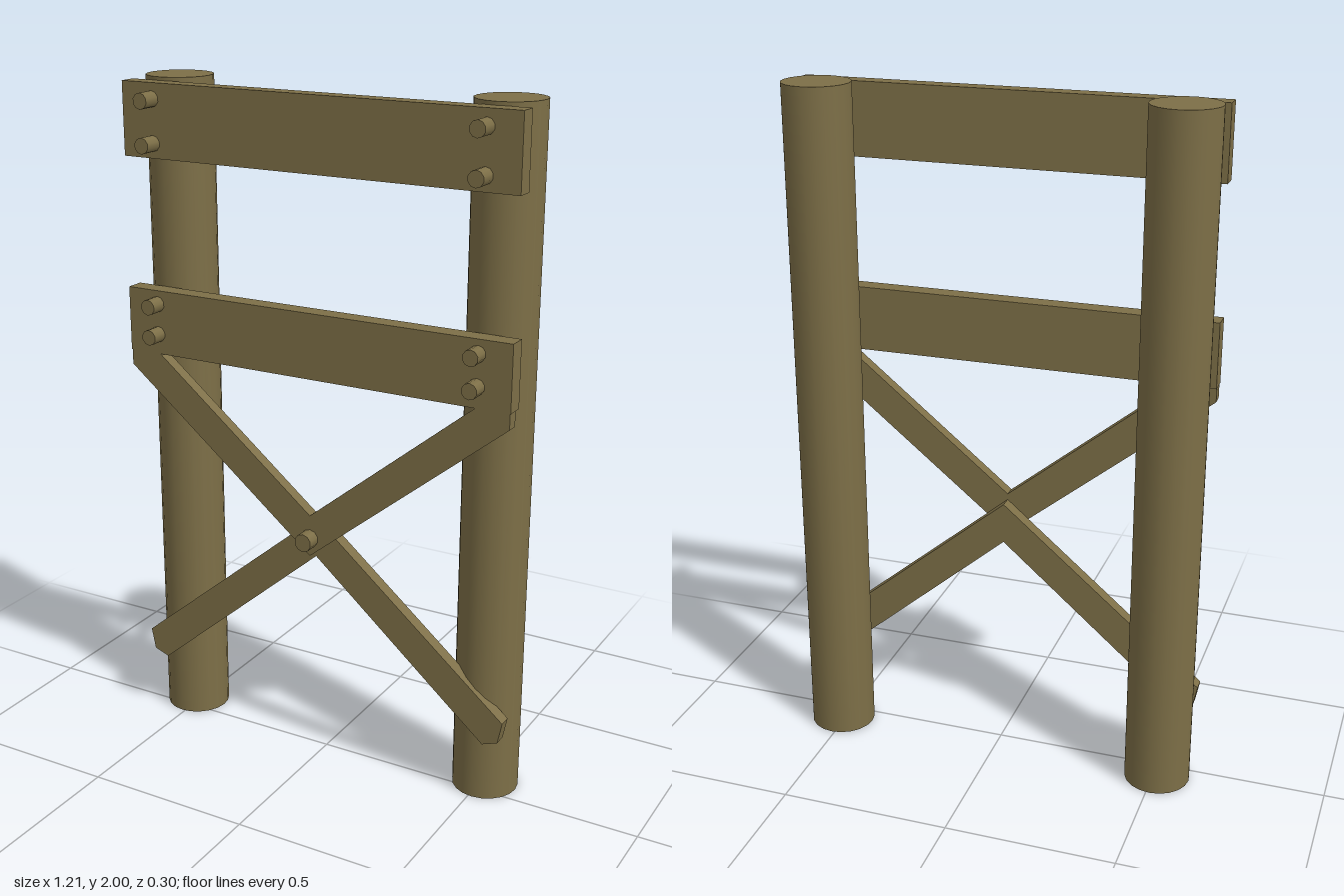
import * as THREE from 'three';

export function createModel() {
  const model = new THREE.Group();
  const wood = new THREE.MeshStandardMaterial({ color: 0x7d6f47 });
  wood.name = 'weathered wood';

  function add(name, geometry, x, y, z) {
    const mesh = new THREE.Mesh(geometry, wood);
    mesh.name = name;
    mesh.position.set(x, y, z);
    model.add(mesh);
    return mesh;
  }

  // A plank spanning both posts
  function beam(name, y0, y1, z0, z1) {
    add(name, new THREE.BoxGeometry(1.214, y1 - y0, z1 - z0), 0, (y0 + y1) / 2, (z0 + z1) / 2);
  }

  // A peg pointing to the front
  function peg(name, x, y, radius, z0, z1) {
    const geometry = new THREE.CylinderGeometry(radius, radius, z1 - z0, 10).rotateX(Math.PI / 2);
    add(name, geometry, x, y, (z0 + z1) / 2);
  }

  // A symmetric brace: half outline from bottom centre to top centre, mirrored
  function brace(name, half, z0, z1) {
    const mirrored = half.slice(1, -1).reverse().map(([x, y]) => [-x, y]);
    const points = [...half, ...mirrored].map(([x, y]) => new THREE.Vector2(x, y));
    const geometry = new THREE.ExtrudeGeometry(new THREE.Shape(points), {
      depth: z1 - z0, bevelEnabled: false,
    });
    add(name, geometry, 0, 0, z0);
  }

  beam('topBeam', 1.78, 1.99, 0.04, 0.092);
  beam('middleBeam', 1.21, 1.40, 0.045, 0.099);

  // Upper V brace lies in front of the lower inverted V
  brace('upperBrace',
    [[0, 0.675], [0.605, 1.165], [0.605, 1.21], [0.505, 1.21], [0, 0.80]], 0.062, 0.098);
  brace('lowerBrace',
    [[0, 0.66], [0.545, 0.193], [0.592, 0.21], [0.605, 0.275], [0, 0.782]], 0.023, 0.062);

  // Posts and the pegs that fix the beams to them
  for (const side of [-1, 1]) {
    const label = side > 0 ? 'left' : 'right';
    add(label + 'Post', new THREE.CylinderGeometry(0.097, 0.097, 2, 20), side * 0.51, 1, -0.053);
    for (const y of [1.945, 1.822, 1.36, 1.27]) peg(label + 'Peg', side * 0.508, y, 0.023, 0.08, 0.148);
  }
  peg('centrePeg', 0, 0.73, 0.027, 0.09, 0.14);

  return model;
}
